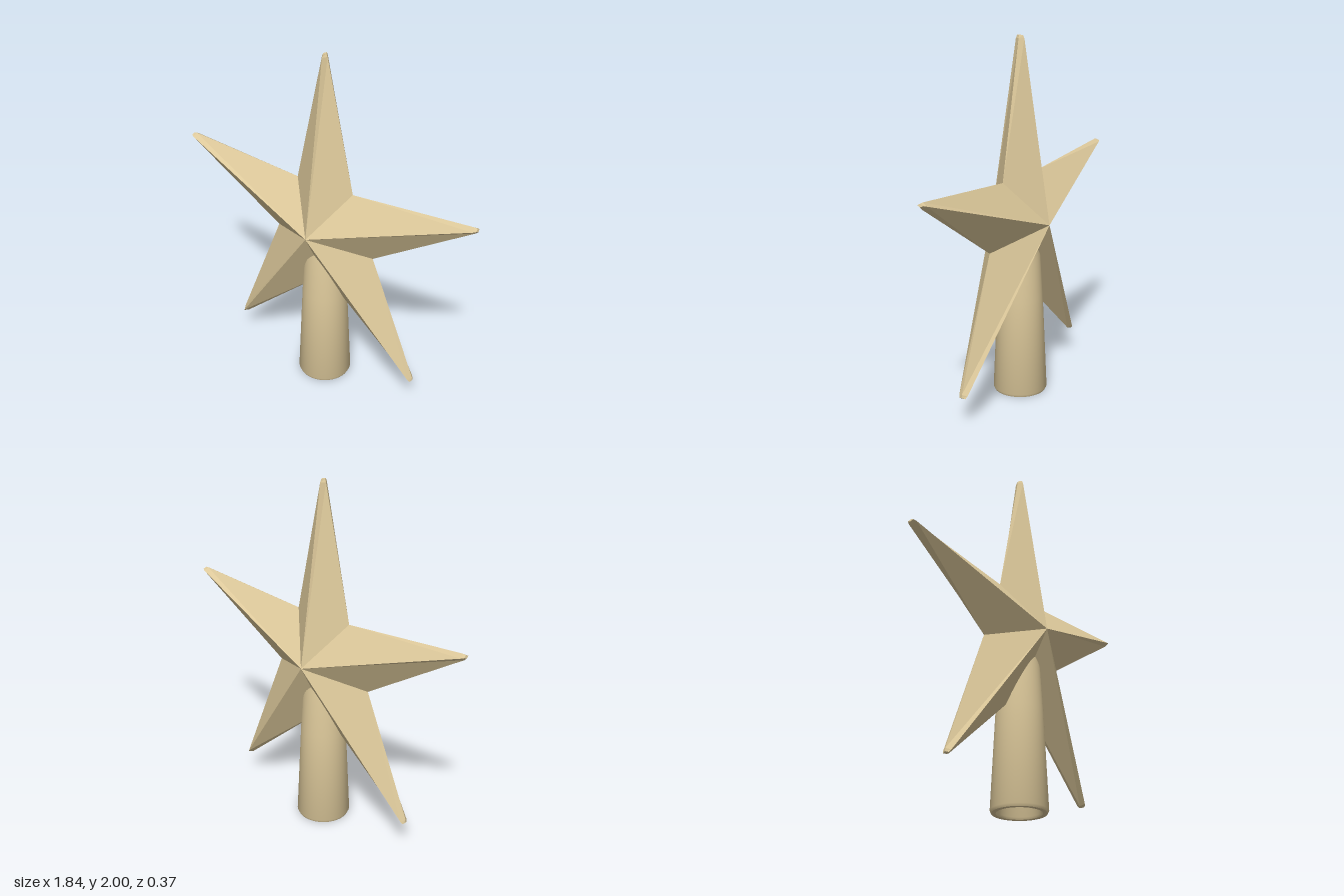
import * as THREE from 'three';
import { toCreasedNormals } from 'three/addons/utils/BufferGeometryUtils.js';

const CENTER_Y = 0.99;
const HALF_DEPTH = 0.185;

// Tips and inner notches, clockwise from the top; notch i follows tip i
const TIPS = [[0, 2], [0.917, 1.285], [0.592, 0.165], [-0.592, 0.165], [-0.917, 1.285]];
const NOTCHES = [[0.18, 1.24], [0.315, 0.885], [0, 0.66], [-0.315, 0.885], [-0.18, 1.24]];

// One arm: diamond cross-sections lofted from the star's middle to a blunt tip
function armGeometry(tip, before, after) {
  const out = new THREE.Vector3(tip[0], tip[1] - CENTER_Y, 0).normalize();
  const side = new THREE.Vector3(out.y, -out.x, 0);
  const end = new THREE.Vector3(tip[0], tip[1], 0);
  const diamond = (back, halfWidth, halfDepth) => {
    const c = end.clone().addScaledVector(out, -back);
    return [
      c.clone().setZ(halfDepth),
      c.clone().addScaledVector(side, halfWidth),
      c.clone().setZ(-halfDepth),
      c.clone().addScaledVector(side, -halfWidth),
    ];
  };
  const rings = [
    [
      new THREE.Vector3(0, CENTER_Y, HALF_DEPTH),
      new THREE.Vector3(after[0], after[1], 0),
      new THREE.Vector3(0, CENTER_Y, -HALF_DEPTH),
      new THREE.Vector3(before[0], before[1], 0),
    ],
    diamond(0.016, 0.017, 0.026),
    diamond(0, 0.009, 0.018),
  ];
  const points = [];
  for (let r = 0; r < rings.length - 1; r++) {
    for (let i = 0; i < 4; i++) {
      const j = (i + 1) % 4;
      const a = rings[r], b = rings[r + 1];
      points.push(a[i], a[j], b[j], a[i], b[j], b[i]);
    }
  }
  // Flat end of the tip
  const [p, q, s, t] = rings[2];
  points.push(p, q, s, p, s, t);
  const geometry = new THREE.BufferGeometry().setFromPoints(points);
  geometry.computeVertexNormals();
  return geometry;
}

export function createModel() {
  const model = new THREE.Group();
  model.name = 'starTreeTopper';
  const gold = new THREE.MeshStandardMaterial({ color: 0xdcc89a });
  gold.name = 'pale gold';

  // Five-pointed faceted star
  const star = new THREE.Group();
  star.name = 'star';
  TIPS.forEach((tip, i) => {
    const arm = new THREE.Mesh(armGeometry(tip, NOTCHES[(i + 4) % 5], NOTCHES[i]), gold);
    arm.name = 'starArm' + (i + 1);
    star.add(arm);
  });
  model.add(star);

  // Hollow tapered socket: cavity, rim, then outer wall
  const profile = [
    [0, 0.7], [0.085, 0.7], [0.115, 0.012], [0.121, 0],
    [0.145, 0], [0.152, 0.015], [0.127, 0.56], [0.112, 0.8], [0.095, 0.9], [0, 0.9],
  ].map(([x, y]) => new THREE.Vector2(x, y));
  const socket = new THREE.Mesh(
    toCreasedNormals(new THREE.LatheGeometry(profile, 40), Math.PI / 6), gold);
  socket.name = 'socket';
  model.add(socket);

  return model;
}
